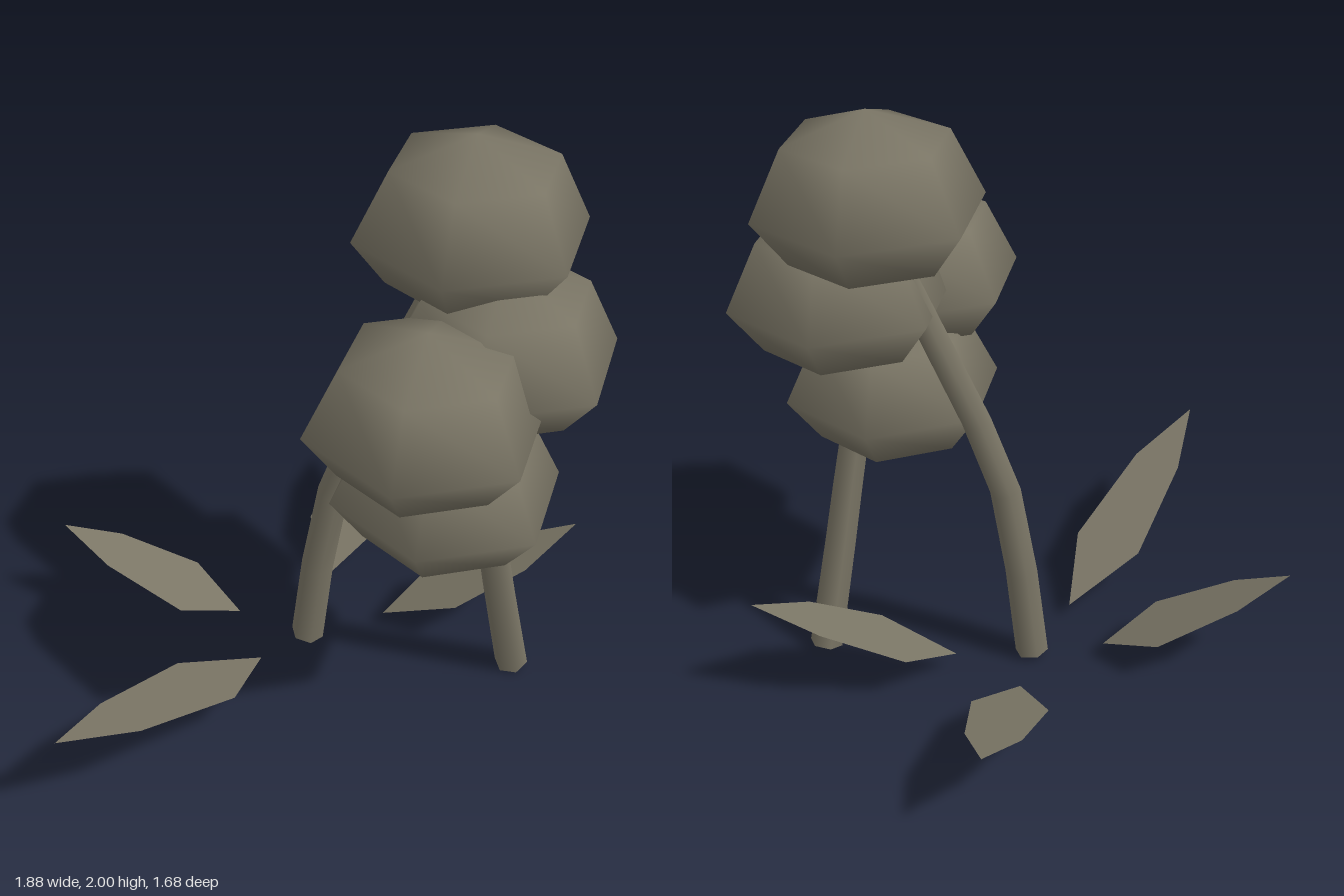
import * as THREE from 'three';
import { mergeVertices } from 'three/addons/utils/BufferGeometryUtils.js';

const drab = new THREE.MeshStandardMaterial({ color: 0x7a7565 });
drab.name = 'drab olive';
const drabLeaf = drab.clone();
drabLeaf.name = 'drab olive leaf';
drabLeaf.side = THREE.DoubleSide;

// Six-sided bloom: a low sphere, domed above and flatter below
function bloomGeometry() {
  const g = new THREE.SphereGeometry(0.37, 6, 4);
  const p = g.attributes.position;
  for (let i = 0; i < p.count; i++) {
    const y = p.getY(i);
    p.setY(i, y * (y > 0 ? 0.84 : 0.57));
  }
  g.deleteAttribute('uv');
  g.deleteAttribute('normal');
  const merged = mergeVertices(g, 1e-4);
  merged.computeVertexNormals();
  return merged;
}

// Tapered six-sided stem, bent along a path
function stemGeometry(points, rBottom, rTop) {
  const curve = new THREE.CatmullRomCurve3(points.map(p => new THREE.Vector3(...p)));
  const g = new THREE.CylinderGeometry(rTop, rBottom, 1, 6, 6);
  const pos = g.attributes.position, nor = g.attributes.normal;
  const up = new THREE.Vector3(0, 1, 0);
  const q = new THREE.Quaternion(), v = new THREE.Vector3(), n = new THREE.Vector3();
  for (let i = 0; i < pos.count; i++) {
    v.fromBufferAttribute(pos, i);
    n.fromBufferAttribute(nor, i);
    const t = THREE.MathUtils.clamp(v.y + 0.5, 0, 1);
    q.setFromUnitVectors(up, curve.getTangent(t));
    v.setY(0).applyQuaternion(q).add(curve.getPoint(t));
    n.applyQuaternion(q);
    pos.setXYZ(i, v.x, v.y, v.z);
    nor.setXYZ(i, n.x, n.y, n.z);
  }
  return g;
}

// Flat leaf: outline in (x, z) from base round to the tip (fourth point) and
// back, rising evenly from the base height to the tip height
function leafGeometry(outline, yBase, yTip) {
  const [bx, bz] = outline[0], [tx, tz] = outline[3];
  const dx = tx - bx, dz = tz - bz, len2 = dx * dx + dz * dz;
  const pos = outline.flatMap(([x, z]) => {
    const t = ((x - bx) * dx + (z - bz) * dz) / len2;
    return [x, yBase + (yTip - yBase) * t, z];
  });
  const g = new THREE.BufferGeometry();
  g.setAttribute('position', new THREE.Float32BufferAttribute(pos, 3));
  g.setIndex([0, 1, 2, 0, 2, 3, 0, 3, 4, 0, 4, 5]);
  g.computeVertexNormals();
  return g;
}

export function createModel() {
  const model = new THREE.Group();
  model.name = 'floweringPlant';
  const add = (name, geometry, material = drab) => {
    const mesh = new THREE.Mesh(geometry, material);
    mesh.name = name;
    model.add(mesh);
    return mesh;
  };

  // Stacked blooms
  const bloom = bloomGeometry();
  const blooms = {
    topBloom: [0.45, 1.69, 0.15],
    leftBloom: [0.52, 1.34, 0.3],
    rightBloom: [0.22, 1.28, 0.52],
    lowerBloom: [0.335, 0.93, 0.4],
  };
  for (const [name, at] of Object.entries(blooms)) add(name, bloom).position.set(...at);

  // Stems
  add('tallStem', stemGeometry(
    [[-0.015, 0.015, -0.01], [0.065, 0.67, 0.03], [0.26, 1.2, 0.075], [0.43, 1.62, 0.13]], 0.058, 0.045));
  add('shortStem', stemGeometry(
    [[0.655, 0.012, 0.28], [0.57, 0.4, 0.325], [0.49, 0.78, 0.365], [0.44, 0.97, 0.385]], 0.058, 0.045));

  // Leaves around the base
  const leaves = {
    frontRightLeaf: [[[-0.21, 0.13], [-0.51, 0.205], [-0.79, 0.485], [-0.945, 0.72], [-0.68, 0.63], [-0.35, 0.405]], 0.42],
    backRightLeaf: [[[-0.24, -0.12], [-0.36, -0.31], [-0.62, -0.375], [-0.82, -0.36], [-0.69, -0.21], [-0.46, -0.07]], 0.37],
    backLeaf: [[[0.11, -0.24], [0.32, -0.355], [0.43, -0.63], [0.445, -0.84], [0.275, -0.72], [0.1, -0.485]], 0.34],
    leftLeaf: [[[0.26, 0], [0.48, 0.15], [0.73, 0.145], [0.94, 0.055], [0.74, -0.05], [0.47, -0.11]], 0.4],
  };
  for (const [name, [outline, tip]] of Object.entries(leaves)) {
    // Wind the outline so the upper side is the front face
    const area = outline.reduce((s, [x, z], i) => {
      const [x2, z2] = outline[(i + 1) % 6];
      return s + x * z2 - x2 * z;
    }, 0);
    const loop = area > 0 ? [outline[0], ...outline.slice(1).reverse()] : outline;
    add(name, leafGeometry(loop, 0.06, tip), drabLeaf);
  }
  return model;
}
